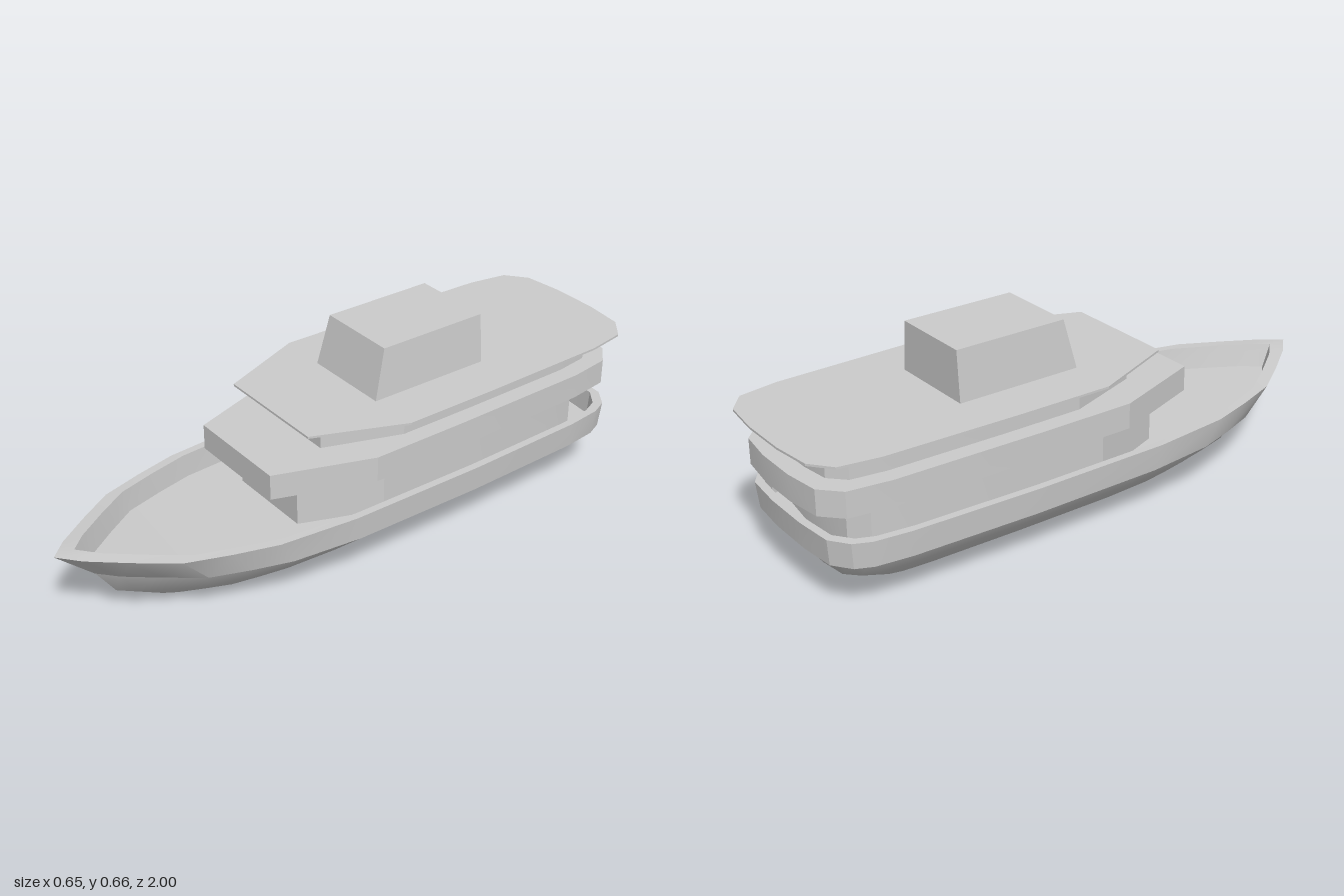
import * as THREE from 'three';
import { toCreasedNormals } from 'three/addons/utils/BufferGeometryUtils.js';

const material = new THREE.MeshStandardMaterial({ color: 0xcccccc, side: THREE.DoubleSide });

// Half outlines as [x, z], bow to stern on the +x side
const HULL = [[0, 1], [0.06, 0.94], [0.14, 0.83], [0.22, 0.71], [0.265, 0.57], [0.302, 0.43], [0.325, 0.17],
  [0.325, -0.3], [0.31, -0.72], [0.295, -0.84], [0.27, -0.895], [0.21, -0.938], [0.08, -0.95], [0, -0.95]];
const CABIN = [[0.195, 0.25], [0.313, -0.04], [0.311, -0.35], [0.3, -0.8], [0.278, -0.93], [0.21, -0.985], [0.08, -1]];

// One closed ring of the hull, scaled to a half width and bow and stern reach
function ring(width, front, back, height) {
  const half = HULL.map(([x, z]) => [
    x * width / 0.325, height(x, z), z > 0 ? z * front : z * back / 0.95]);
  const mirrored = half.slice(1, -1).reverse().map(([x, y, z]) => [-x, y, z]);
  return [...half, ...mirrored];
}

// Skin between successive rings, with optional flat caps
function loft(rings, capStart, capEnd) {
  const n = rings[0].length;
  const positions = rings.flat(2);
  const index = [];
  for (let r = 0; r < rings.length - 1; r++) {
    for (let i = 0; i < n; i++) {
      const a = r * n + i, b = r * n + (i + 1) % n;
      index.push(a, b, b + n, a, b + n, a + n);
    }
  }
  // Caps are laid in strips across from side to side
  const cap = (base, up) => {
    for (let i = 0; i < n / 2; i++) {
      const a = base + i, b = base + i + 1;
      const c = base + (n - i) % n, d = base + (n - i - 1) % n;
      const quad = up ? [a, b, d, a, d, c] : [a, d, b, a, c, d];
      index.push(...quad);
    }
  };
  if (capStart) cap(0, true);
  if (capEnd) cap((rings.length - 1) * n, false);
  // Order the corners so that faces point outwards
  for (let i = 0; i < index.length; i += 3) {
    [index[i + 1], index[i + 2]] = [index[i + 2], index[i + 1]];
  }
  const g = new THREE.BufferGeometry();
  g.setAttribute('position', new THREE.Float32BufferAttribute(positions, 3));
  g.setIndex(index);
  return g;
}

function mesh(name, geometry, crease) {
  const m = new THREE.Mesh(toCreasedNormals(geometry, crease), material);
  m.name = name;
  return m;
}

// Upright slab with the cabin outline fitted to a width and length
function slab(name, width, front, back, bottom, top) {
  const fit = ([x, z]) => [x * width / 0.313, back + (z + 1) / 1.25 * (front - back)];
  const half = CABIN.map(fit);
  const outline = [...half, ...half.slice().reverse().map(([x, z]) => [-x, z])];
  const shape = new THREE.Shape(outline.map(([x, z]) => new THREE.Vector2(x, -z)));
  const g = new THREE.ExtrudeGeometry(shape, { depth: top - bottom, bevelEnabled: false });
  g.rotateX(-Math.PI / 2).translate(0, bottom, 0);
  return mesh(name, g, 0.3);
}

export function createModel() {
  const model = new THREE.Group();
  model.name = 'ship';

  // Heights that rise toward the ends
  const flat = (y) => () => y;
  const knuckle = (x, z) => 0.145 + 0.023 * Math.pow(Math.abs(z) / (z > 0 ? 1 : 0.95), 4);
  const rub = (x, z) => 0.165 + 0.005 * Math.max(0, z);
  const sheer = (x, z) => (z > 0 ? 0.278 - 0.028 * x / 0.325 : 0.25);
  const deck = (x, z) => 0.17 + 0.03 * Math.max(0, z) ** 2;

  // Rounded underwater body with a flat bottom
  model.add(mesh('lowerHull', loft([
    ring(0.13, 0.66, 0.73, flat(0)),
    ring(0.22, 0.815, 0.87, flat(0.08)),
    ring(0.257, 0.877, 0.925, knuckle),
  ], true, false), 0.65));

  // Flared topsides, bulwark rim, inner wall and deck
  model.add(mesh('upperHull', loft([
    ring(0.257, 0.877, 0.925, knuckle),
    ring(0.317, 0.88, 0.942, rub),
    ring(0.325, 1, 0.95, sheer),
    ring(0.3, 0.935, 0.925, sheer),
    ring(0.295, 0.905, 0.92, deck),
  ], false, true), 0.5));

  // Stacked decks and the overhanging roof
  model.add(slab('lowerCabin', 0.24, 0.265, -0.86, 0.165, 0.322));
  model.add(slab('middleCabin', 0.287, 0.38, -0.97, 0.322, 0.405));
  model.add(slab('upperCabin', 0.228, 0.172, -0.912, 0.405, 0.493));
  model.add(slab('roof', 0.313, 0.255, -1, 0.493, 0.5));

  // Tapered wheelhouse with a raked front and upright back
  const house = new THREE.BoxGeometry(0.3, 0.162, 0.42).translate(0, 0.581, -0.24);
  const p = house.attributes.position;
  for (let i = 0; i < p.count; i++) {
    if (p.getY(i) < 0.6) continue;
    p.setX(i, p.getX(i) * 0.137 / 0.15);
    if (p.getZ(i) > -0.2) p.setZ(i, -0.07);
  }
  model.add(mesh('wheelhouse', house, 0.1));

  return model;
}
